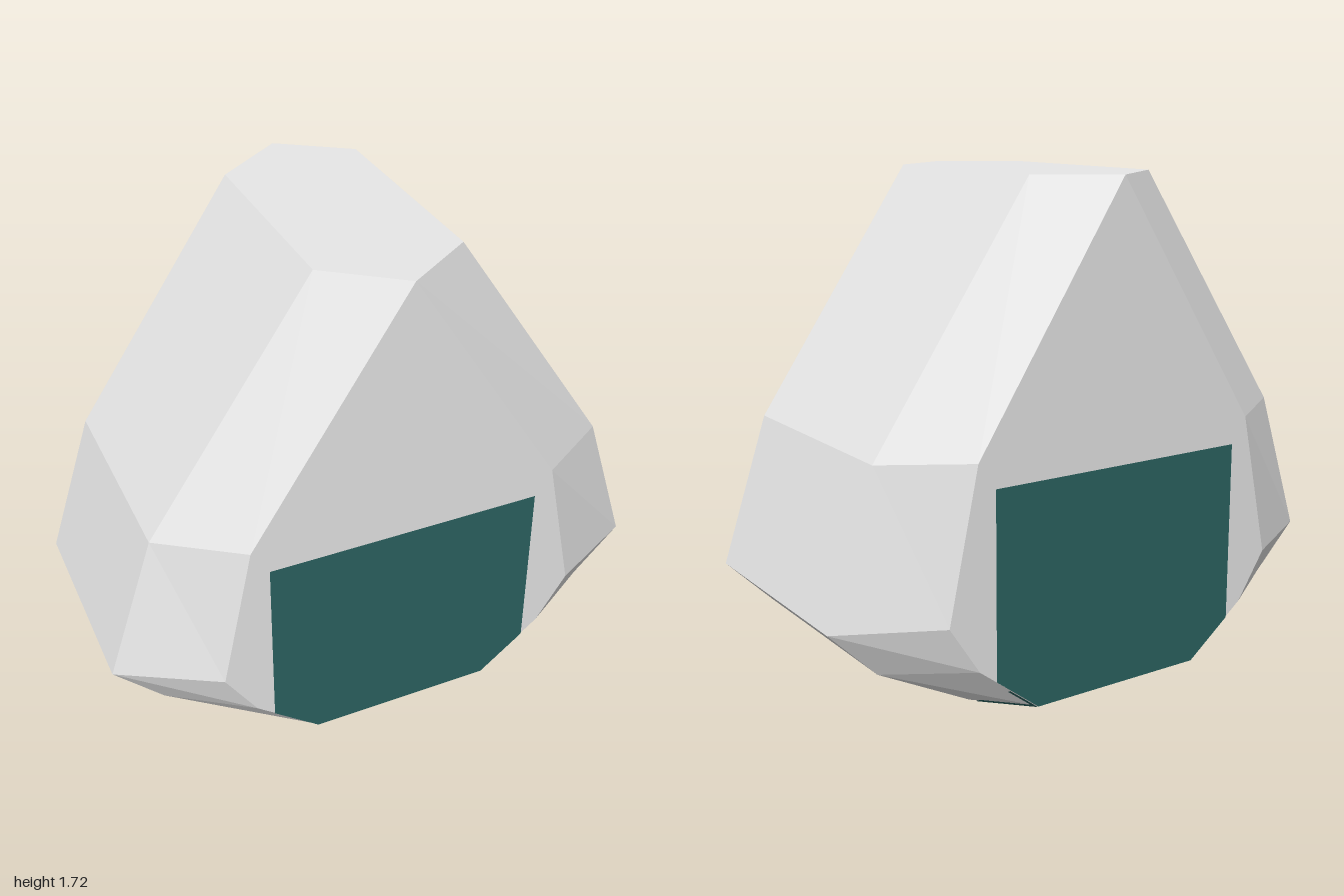
import * as THREE from 'three';

const RAISE = 0.003;
const DEPTH = 0.57;

// Flat polygons (lists of Vector3) to a faceted geometry
function facets(polygons) {
  const pos = [];
  for (const p of polygons) {
    for (let i = 1; i < p.length - 1; i++) {
      const tri = new THREE.Triangle(p[0], p[i], p[i + 1]);
      if (tri.getArea() < 1e-6) continue;
      for (const v of [tri.a, tri.b, tri.c]) pos.push(v.x, v.y, v.z);
    }
  }
  const geo = new THREE.BufferGeometry();
  geo.setAttribute('position', new THREE.Float32BufferAttribute(pos, 3));
  geo.computeVertexNormals();
  return geo;
}

// Polygon turned towards "out" and lifted slightly off the surface beneath it
function plate(points, out) {
  const normal = new THREE.Triangle(points[0], points[1], points[2]).getNormal(new THREE.Vector3());
  const ordered = points.slice();
  if (normal.dot(out) < 0) {
    normal.negate();
    ordered.reverse();
  }
  return ordered.map((p) => p.clone().addScaledVector(normal, RAISE));
}

export function createModel() {
  const group = new THREE.Group();
  const rice = new THREE.MeshStandardMaterial({ name: 'rice white', color: 0xeeeeee });
  const seaweed = new THREE.MeshStandardMaterial({ name: 'seaweed green', color: 0x2b6361 });
  const add = (name, polygons, material) => {
    const mesh = new THREE.Mesh(facets(polygons), material);
    mesh.name = name;
    group.add(mesh);
  };
  const V = (x, y, z) => new THREE.Vector3(x, y, z);

  // Half outlines, bottom to top: wide middle and narrower end faces
  const outer = [[0.49, 0], [0.83, 0.175], [1, 0.345], [0.83, 0.86], [0.25, 1.715]];
  const inner = [[0.33, 0], [0.555, 0.175], [0.665, 0.345], [0.555, 0.86], [0, 1.715]];
  const ring = (half, zLeft, zRight) => [
    ...half.map(([x, y]) => V(x, y, zLeft)),
    ...half.slice().reverse().map(([x, y]) => V(-x, y, zRight)),
  ];
  const rings = [
    ring(inner, -DEPTH, -DEPTH),
    ring(outer, -0.4, -0.38),
    ring(outer, 0.4, 0.38),
    ring(inner, DEPTH, DEPTH),
  ];

  // Rice body; the underside strip belongs to the seaweed
  const body = [rings[3], rings[0].slice().reverse()];
  const underside = [];
  for (let i = 0; i < 3; i++) {
    for (let j = 0; j < 10; j++) {
      const k = (j + 1) % 10;
      const quad = [rings[i][j], rings[i][k], rings[i + 1][k], rings[i + 1][j]];
      (j === 9 ? underside : body).push(quad);
    }
  }
  add('riceBody', body, rice);
  add('seaweedUnderside', underside, seaweed);

  // Seaweed panels on the two end faces
  for (const s of [1, -1]) {
    const half = [[0.33, 0], [0.493, 0.127], [0.493, 0.77]];
    const outline = [...half, ...half.slice().reverse().map(([x, y]) => [-x, y])];
    const panel = plate(outline.map(([x, y]) => V(x, y, s * DEPTH)), V(0, 0, s));
    add(s > 0 ? 'seaweedFront' : 'seaweedBack', [panel], seaweed);
  }

  // Small seaweed folds on the lower bevels: side, end, height, share of bottom edge
  for (const [sx, sz, h, t] of [[1, 1, 0.06, 0.62], [-1, 1, 0.085, 0.92], [1, -1, 0.085, 0.9], [-1, -1, 0.06, 0.62]]) {
    const bevelZ = sx > 0 ? 0.4 : 0.38;
    const a = V(sx * 0.33, 0, sz * DEPTH);
    const b = V(sx * (0.33 + h * 1.286), h, sz * DEPTH);
    const c = a.clone().lerp(V(sx * 0.49, 0, sz * bevelZ), t);
    add('seaweedFold', [plate([a, b, c], V(sx, -1, sz))], seaweed);
  }
  return group;
}
